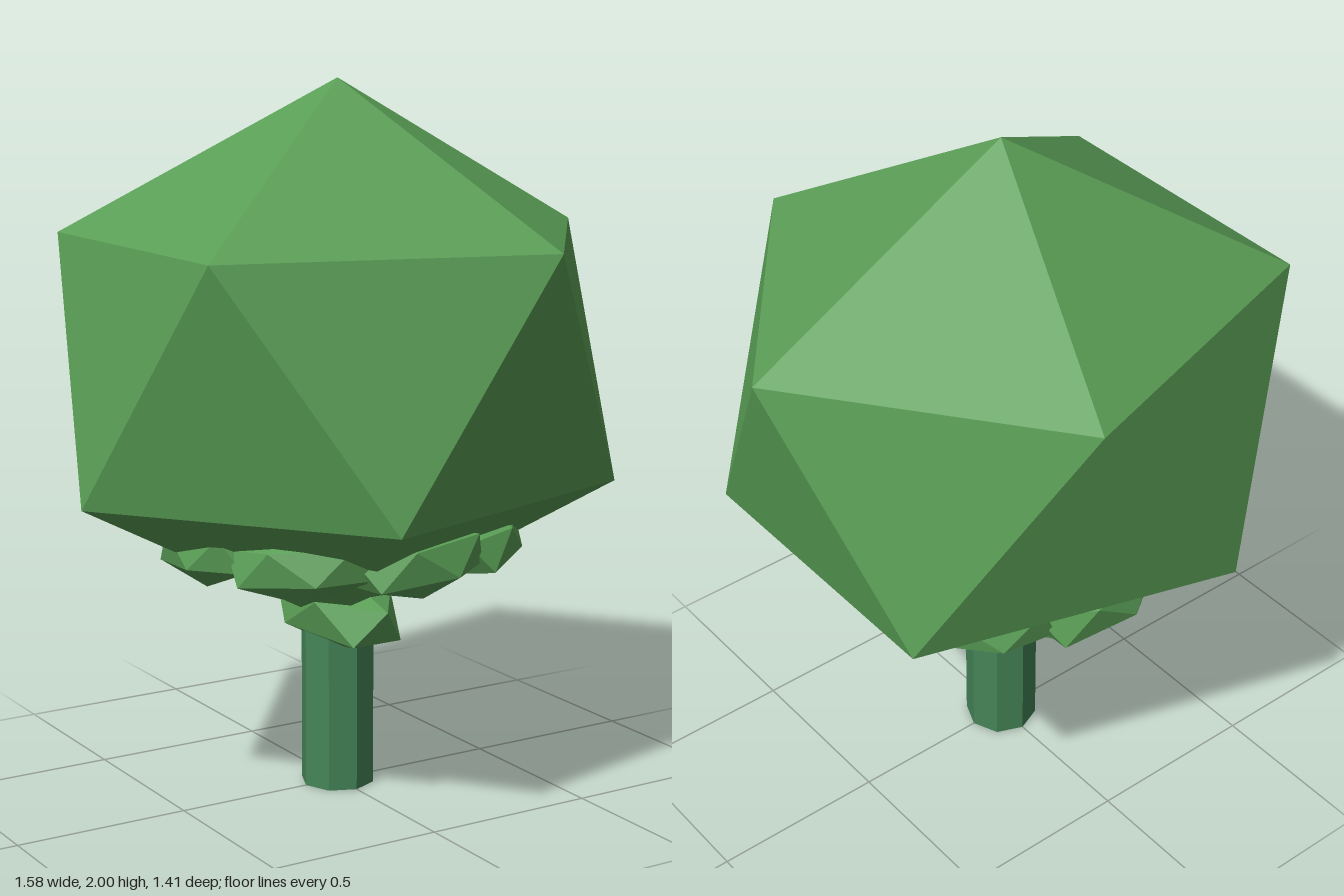
import * as THREE from 'three';

// Icosahedron standing on a vertex, upper ring pointing to +x, with given half sizes
function uprightIcosahedron(rx, ry, rz, turn = 0) {
  const g = new THREE.IcosahedronGeometry(1, 0);
  g.rotateZ(-Math.atan(2 / (1 + Math.sqrt(5))));
  g.rotateY(turn);
  g.scale(rx, ry, rz);
  return g;
}

export function createModel() {
  const model = new THREE.Group();
  model.name = 'tree';

  const leafGreen = new THREE.MeshStandardMaterial({ color: 0x5a9e56, flatShading: true });
  leafGreen.name = 'leaf green';
  const trunkGreen = new THREE.MeshStandardMaterial({ color: 0x458457, flatShading: true });
  trunkGreen.name = 'trunk green';

  function add(name, geometry, material, x, y, z) {
    const mesh = new THREE.Mesh(geometry, material);
    mesh.name = name;
    mesh.position.set(x, y, z);
    mesh.rotation.order = 'YXZ';
    model.add(mesh);
    return mesh;
  }

  // Eight-sided trunk
  add('trunk', new THREE.CylinderGeometry(0.105, 0.105, 0.5, 8), trunkGreen, 0, 0.25, 0);

  // Large faceted crown
  add('crown', uprightIcosahedron(0.885, 0.768, 0.829), leafGreen, 0, 1.232, 0);

  // Flat leaf clump where the crown meets the trunk
  const collar = add('collarLeaf', uprightIcosahedron(0.147, 0.115, 0.294, -Math.PI / 2), leafGreen, 0, 0.513, 0);
  collar.rotation.x = 0.03;

  // Ring of overlapping leaf clumps under the crown
  const clump = uprightIcosahedron(0.115, 0.105, 0.225, -Math.PI / 2);
  for (let i = 0; i < 8; i++) {
    const a = (i * Math.PI) / 4;
    const leaf = add('ringLeaf' + (i + 1), clump, leafGreen, 0.415 * Math.cos(a), 0.738, 0.415 * Math.sin(a));
    leaf.rotation.set(0.09, -a, 0.08);
  }

  return model;
}
